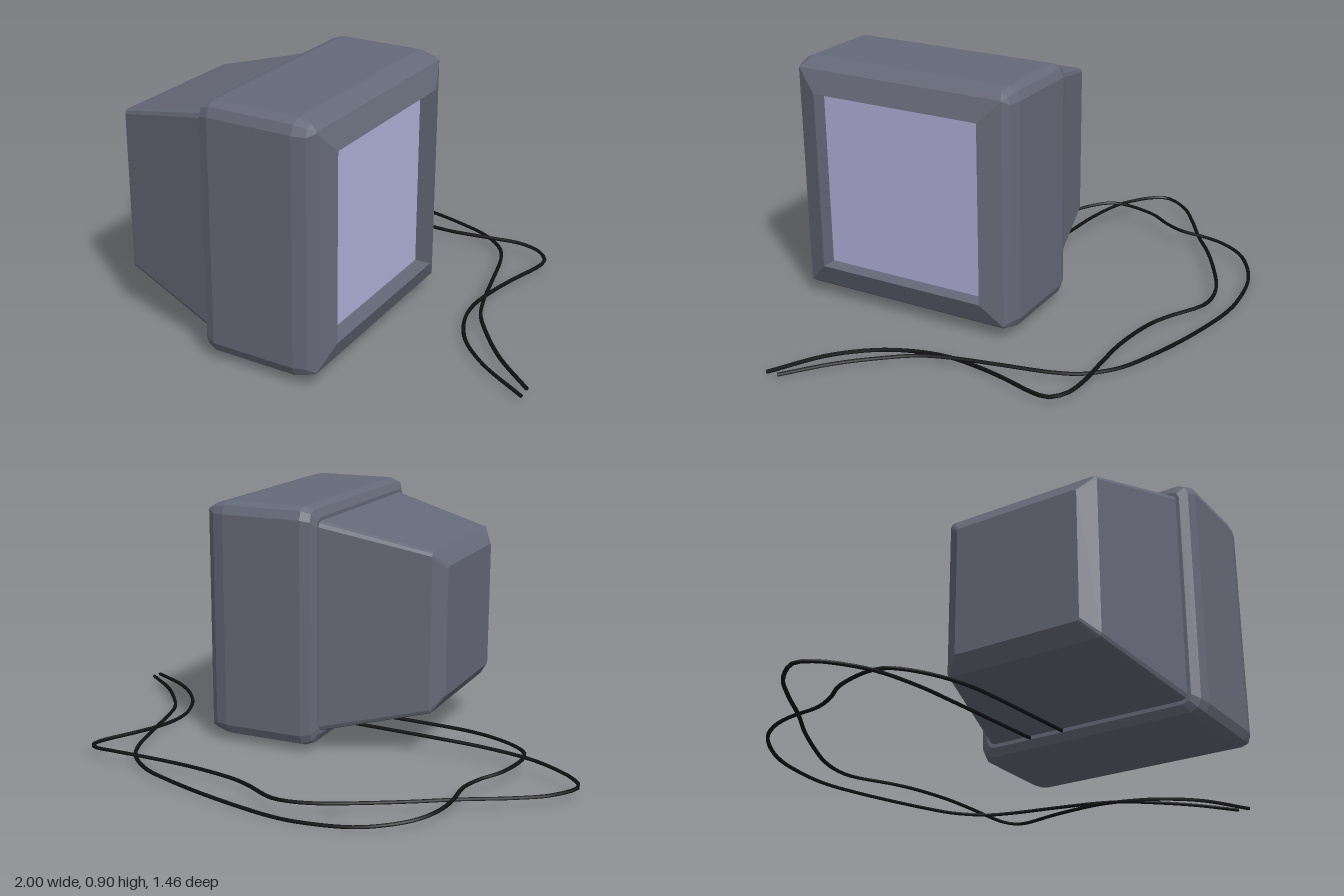
import * as THREE from 'three';

const CY = 0.461, CZ = 0.29; // centre line of the housing, which runs along x

// Square cross-section with clipped corners, listed counter-clockwise seen from +x
function ring(x, h, c) {
  const corner = [[h, h - c], [h - 0.3 * c, h - 0.3 * c], [h - c, h]];
  const points = [];
  for (let q = 0; q < 4; q++) {
    for (const [u, v] of corner) {
      let a = u, b = v;
      for (let k = 0; k < q; k++) [a, b] = [-b, a];
      points.push([x, CY + b, CZ - a]);
    }
  }
  return points;
}

// Skin between successive cross-sections [x, half size, corner cut]
function loft(sections, material, name) {
  const rings = sections.map(([x, h, c]) => ring(x, h, c));
  const pos = [];
  for (let i = 0; i < rings.length - 1; i++) {
    const n = rings[i].length;
    for (let j = 0; j < n; j++) {
      const k = (j + 1) % n;
      const a = rings[i][j], b = rings[i][k], c = rings[i + 1][k], d = rings[i + 1][j];
      pos.push(...a, ...b, ...c, ...a, ...c, ...d);
    }
  }
  const geometry = new THREE.BufferGeometry();
  geometry.setAttribute('position', new THREE.Float32BufferAttribute(pos, 3));
  geometry.computeVertexNormals();
  const mesh = new THREE.Mesh(geometry, material);
  mesh.name = name;
  return mesh;
}

function cable(points, material, name) {
  const curve = new THREE.CatmullRomCurve3(points.map(p => new THREE.Vector3(...p)), false, 'centripetal');
  const mesh = new THREE.Mesh(new THREE.TubeGeometry(curve, 120, 0.007, 6), material);
  mesh.name = name;
  return mesh;
}

export function createModel() {
  const model = new THREE.Group();
  model.name = 'monitor';
  const shellMat = new THREE.MeshStandardMaterial({ color: 0x666978, flatShading: true });
  const screenMat = new THREE.MeshStandardMaterial({ color: 0xb0b0d8 });
  const cableMat = new THREE.MeshStandardMaterial({ color: 0x111111, side: THREE.DoubleSide });

  // Front housing: rounded rim, sloping bezel, then the recess walls
  model.add(loft([
    [-0.02, 0, 0], [-0.02, 0.4, 0.03], [-0.005, 0.428, 0.04], [0.03, 0.44, 0.045],
    [0.335, 0.44, 0.045], [0.38, 0.428, 0.035], [0.405, 0.41, 0.004],
    [0.435, 0.33, 0], [0.375, 0.33, 0],
  ], shellMat, 'frontHousing'));

  // Tapered rear housing with a chamfered back
  model.add(loft([
    [-0.45, 0, 0], [-0.45, 0.237, 0.01], [-0.41, 0.293, 0.015], [-0.015, 0.388, 0.02],
  ], shellMat, 'rearHousing'));

  // Screen at the bottom of the recess
  const screen = new THREE.Mesh(new THREE.BoxGeometry(0.02, 0.66, 0.66), screenMat);
  screen.name = 'screen';
  screen.position.set(0.366, CY, CZ);
  model.add(screen);

  // Two loose cables trailing from under the rear housing
  model.add(cable([
    [-0.01, 0.068, 0.07], [-0.44, 0.067, 0.04], [-0.6, 0.064, 0.03], [-0.78, 0.058, 0],
    [-0.88, 0.052, -0.04], [-0.96, 0.045, -0.09], [-0.992, 0.04, -0.14], [-0.93, 0.037, -0.24],
    [-0.82, 0.037, -0.32], [-0.67, 0.04, -0.41], [-0.54, 0.043, -0.5], [-0.38, 0.043, -0.59],
    [-0.27, 0.042, -0.64], [-0.18, 0.04, -0.658], [-0.11, 0.038, -0.65], [0.02, 0.032, -0.57],
    [0.1, 0.03, -0.535], [0.28, 0.035, -0.51], [0.45, 0.043, -0.515], [0.59, 0.048, -0.522],
    [0.67, 0.042, -0.505], [0.712, 0.035, -0.46], [0.71, 0.032, -0.41], [0.66, 0.024, -0.26],
    [0.63, 0.018, -0.15], [0.615, 0.015, -0.03], [0.63, 0.015, 0.07], [0.69, 0.018, 0.2],
    [0.81, 0.022, 0.325], [0.995, 0.02, 0.438],
  ], cableMat, 'cableOuter'));
  model.add(cable([
    [-0.01, 0.068, 0.2], [-0.44, 0.07, 0.165], [-0.52, 0.071, 0.15], [-0.61, 0.072, 0.12],
    [-0.7, 0.073, 0.07], [-0.755, 0.072, 0.02], [-0.77, 0.07, -0.04], [-0.74, 0.065, -0.18],
    [-0.69, 0.06, -0.26], [-0.66, 0.055, -0.34], [-0.66, 0.048, -0.45], [-0.645, 0.042, -0.53],
    [-0.6, 0.034, -0.61], [-0.52, 0.024, -0.67], [-0.42, 0.015, -0.71], [-0.25, 0.008, -0.728],
    [-0.15, 0.007, -0.723], [0, 0.012, -0.7], [0.16, 0.018, -0.665], [0.3, 0.021, -0.62],
    [0.4, 0.023, -0.58], [0.46, 0.025, -0.54], [0.52, 0.027, -0.48], [0.56, 0.03, -0.4],
    [0.61, 0.033, -0.2], [0.645, 0.033, -0.05], [0.68, 0.031, 0.05], [0.755, 0.028, 0.16],
    [0.85, 0.025, 0.27], [0.995, 0.022, 0.393],
  ], cableMat, 'cableInner'));

  return model;
}
